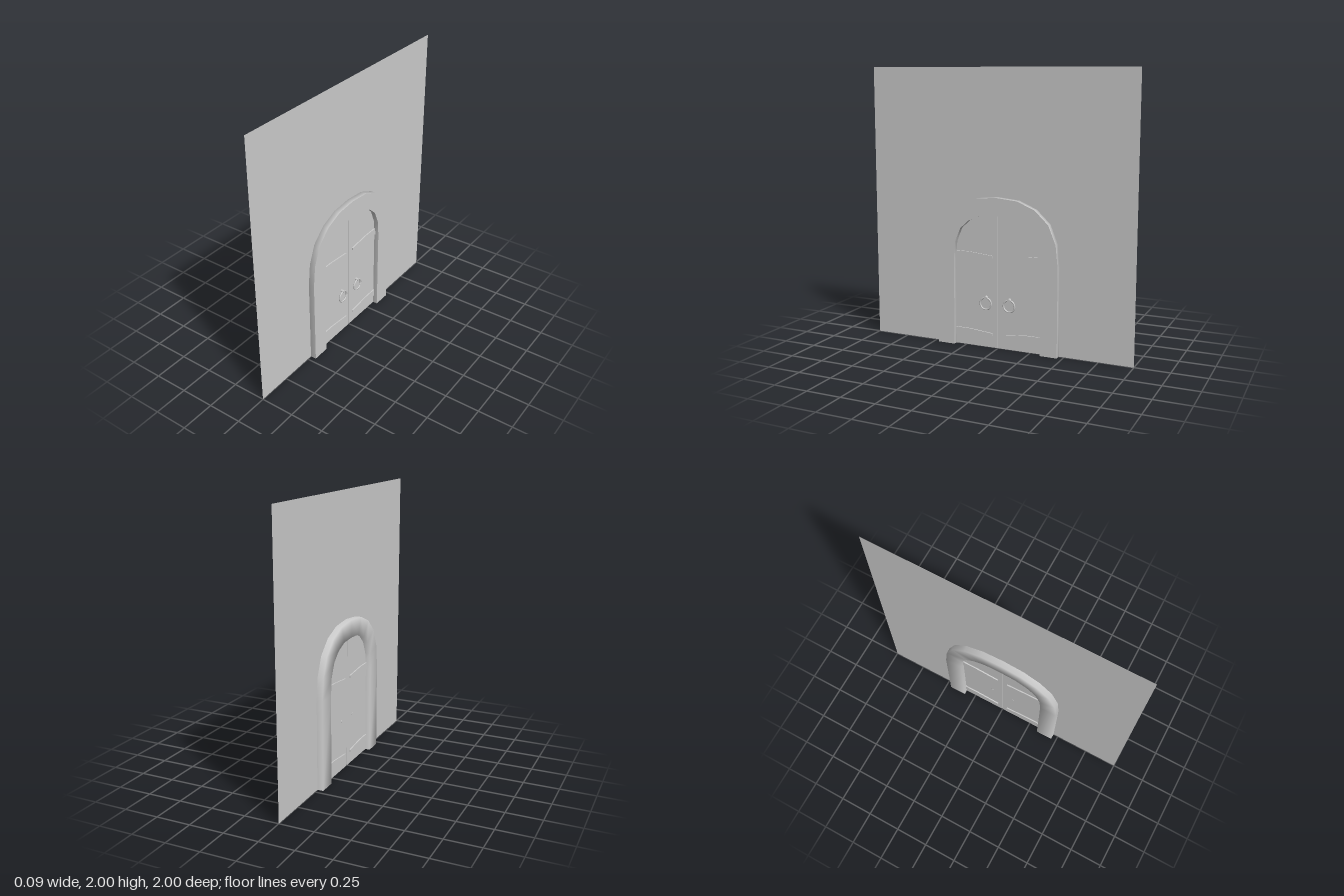
import * as THREE from 'three';

const mat = new THREE.MeshStandardMaterial({ color: 0xcccccc, side: THREE.DoubleSide });

// half outlines of the archway as [z, y], from the ground to the crown
const outerHalf = [[0.462, 0], [0.462, 0.64], [0.445, 0.8], [0.39, 0.935], [0.29, 1.03], [0.16, 1.085], [0, 1.1]];
const innerHalf = [[0.333, 0], [0.333, 0.645], [0.322, 0.765], [0.28, 0.865], [0.215, 0.925], [0.12, 0.965], [0, 0.972]];
const mirrored = half => [...half, ...half.slice(0, -1).reverse().map(([z, y]) => [-z, y])];

function add(parent, name, geometry) {
  const mesh = new THREE.Mesh(geometry, mat);
  mesh.name = name;
  parent.add(mesh);
  return mesh;
}

// flat plate drawn in (z, y), with its thickness centred on x = 0
function plate(points, thickness) {
  const shape = new THREE.Shape(points.map(([z, y]) => new THREE.Vector2(-z, y)));
  const g = new THREE.ExtrudeGeometry(shape, { depth: thickness, bevelEnabled: false });
  return g.translate(0, 0, -thickness / 2).rotateY(Math.PI / 2);
}

// strip of quads running through rows of points
function loft(rows) {
  const n = rows[0].length, index = [];
  for (let i = 0; i < rows.length - 1; i++) {
    for (let j = 0; j < n - 1; j++) {
      const a = i * n + j, b = a + n;
      index.push(a, a + 1, b, b, a + 1, b + 1);
    }
  }
  const g = new THREE.BufferGeometry();
  g.setAttribute('position', new THREE.Float32BufferAttribute(rows.flat(2), 3));
  g.setIndex(index);
  g.computeVertexNormals();
  return g;
}

export function createModel() {
  const model = new THREE.Group();
  model.name = 'archedDoorway';

  add(model, 'wall', new THREE.PlaneGeometry(2, 2).rotateY(Math.PI / 2).translate(0, 1, 0));

  // stone surround: crisp front face, sides and back softly shaded together
  const frame = new THREE.Group();
  frame.name = 'archFrame';
  model.add(frame);
  const d = 0.044;
  const outer = mirrored(outerHalf), inner = mirrored(innerHalf);
  add(frame, 'archFrontFace', loft(outer.map(([z, y], i) => [[d, ...flip(inner[i])], [d, y, z]])));
  add(frame, 'archSidesAndBack', loft(outer.map(([z, y], i) => {
    const [iy, iz] = flip(inner[i]);
    return [[d, y, z], [-d, y, z], [-d, iy, iz], [d, iy, iz]];
  })));
  for (const s of [1, -1]) {
    const foot = add(frame, 'archFoot', new THREE.PlaneGeometry(2 * d, 0.129).rotateX(Math.PI / 2));
    foot.position.z = s * 0.3975;
  }

  // two leaves with strap hinges and ring handles
  for (const s of [1, -1]) {
    const leaf = new THREE.Group();
    leaf.name = s > 0 ? 'frontDoorLeaf' : 'backDoorLeaf';
    model.add(leaf);

    const gap = 0.004;
    const outline = [[gap, 0], ...innerHalf.slice(0, -1), [gap, 0.972]];
    add(leaf, 'doorPanel', plate(outline.map(([z, y]) => [s * z, y]), 0.016));

    for (const y of [0.097, 0.668]) {
      const strap = [[0.333, -0.027], [0.22, -0.026], [0.04, -0.009], [0.04, 0.009], [0.22, 0.026], [0.333, 0.027]];
      add(leaf, 'strapHinge', plate(strap.map(([z, h]) => [s * z, y + h]), 0.034));
    }

    const ring = add(leaf, 'ringHandle', new THREE.TorusGeometry(0.043, 0.006, 8, 24).rotateY(Math.PI / 2));
    ring.position.set(0.022, 0.325, s * 0.091);
    const peg = add(leaf, 'handlePeg', new THREE.CylinderGeometry(0.011, 0.011, 0.042, 12).rotateZ(Math.PI / 2));
    peg.position.set(0.011, 0.37, s * 0.091);
  }
  return model;
}

// [z, y] to [y, z]
function flip([z, y]) {
  return [y, z];
}
